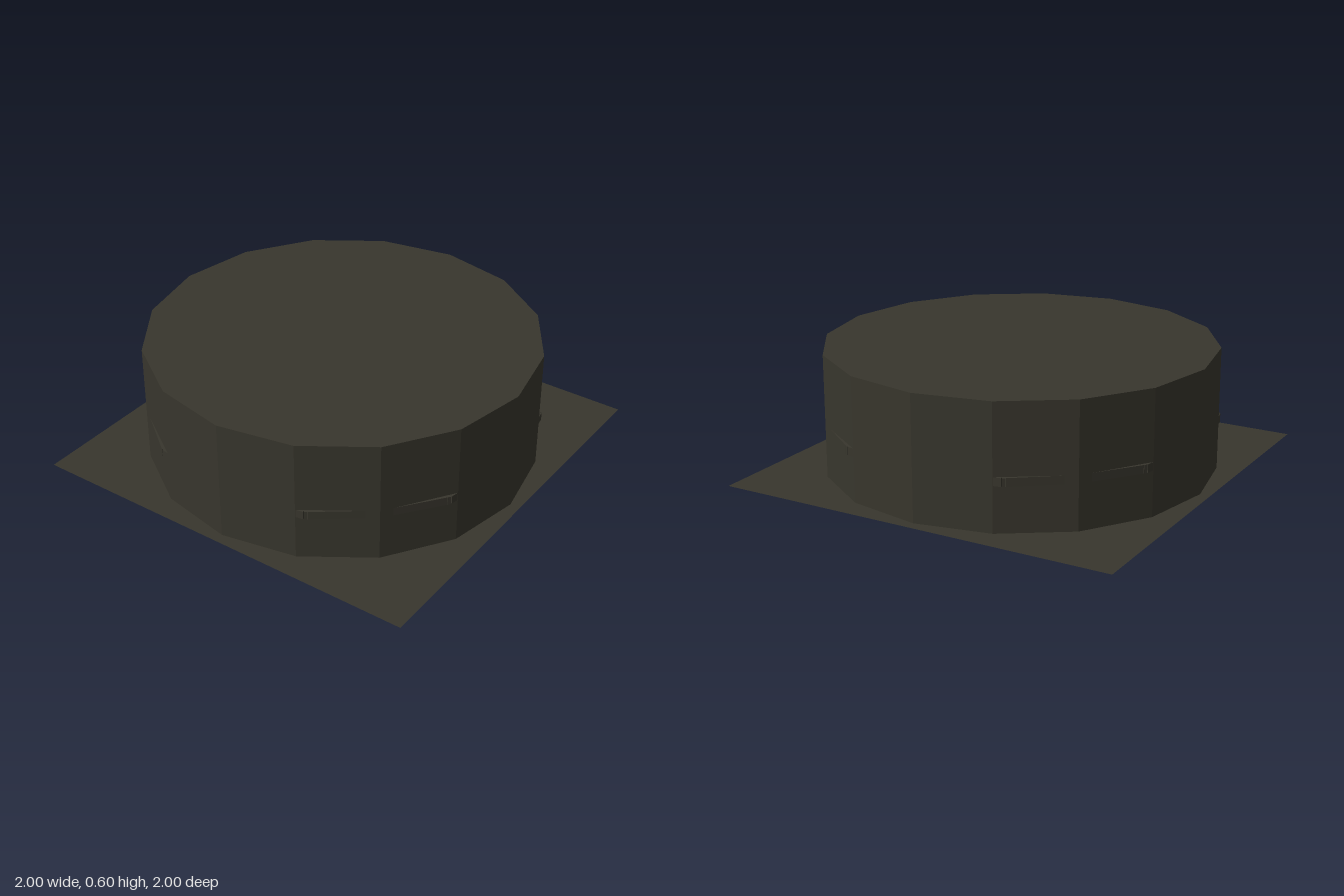
import * as THREE from 'three';

export function createModel() {
  const model = new THREE.Group();
  const R = 0.95, H = 0.6, SIDES = 16, BAR_Y = 0.24, BAR = 0.04;

  const darkOlive = new THREE.MeshStandardMaterial({ color: 0x38362d });
  darkOlive.flatShading = true;
  darkOlive.side = THREE.DoubleSide;

  function add(geometry, name, parent = model) {
    const mesh = new THREE.Mesh(geometry, darkOlive);
    mesh.name = name;
    parent.add(mesh);
    return mesh;
  }

  // Upright wall, open at both ends
  add(new THREE.CylinderGeometry(R, R, H, SIDES, 1, true), 'wall').position.y = H / 2;

  // Flat lid closing the top
  const lid = add(new THREE.CircleGeometry(R, SIDES), 'lid');
  lid.rotation.x = -Math.PI / 2;
  lid.position.y = H;

  // Square base sheet with an opening that meets the wall
  const sheet = new THREE.Shape([[-1, -1], [1, -1], [1, 1], [-1, 1]].map(([x, y]) => new THREE.Vector2(x, y)));
  const opening = [];
  for (let i = 0; i < SIDES; i++) {
    const a = -i / SIDES * Math.PI * 2;
    opening.push(new THREE.Vector2(R * Math.cos(a), R * Math.sin(a)));
  }
  sheet.holes.push(new THREE.Path(opening));
  add(new THREE.ShapeGeometry(sheet), 'baseSheet').rotation.x = -Math.PI / 2;

  // Straight bar between two points on the grate level
  const grate = new THREE.Group();
  grate.name = 'grate';
  model.add(grate);
  function bar(x1, z1, x2, z2, width, name) {
    const length = Math.hypot(x2 - x1, z2 - z1);
    const mesh = add(new THREE.BoxGeometry(length, BAR, width), name, grate);
    mesh.position.set((x1 + x2) / 2, BAR_Y, (z1 + z2) / 2);
    mesh.rotation.y = -Math.atan2(z2 - z1, x2 - x1);
  }

  // Crossing bars
  for (const [offset, reach] of [[-0.4, 0.86], [0, 0.94], [0.4, 0.86]]) {
    bar(-reach, offset, reach, offset, BAR, 'crossBar');
    bar(offset, -reach, offset, reach, BAR, 'crossBar');
  }

  // Rim bars joining the ends, barely breaking through the wall
  const quarter = [[0, 0.935], [0.4, 0.86], [0.662, 0.662], [0.86, 0.4], [0.935, 0]];
  for (const sx of [-1, 1]) {
    for (const sz of [-1, 1]) {
      for (let i = 0; i < 4; i++) {
        const [a, b] = [quarter[i], quarter[i + 1]];
        bar(sx * a[0], sz * a[1], sx * b[0], sz * b[1], 0.02, 'rimBar');
      }
    }
  }
  return model;
}
